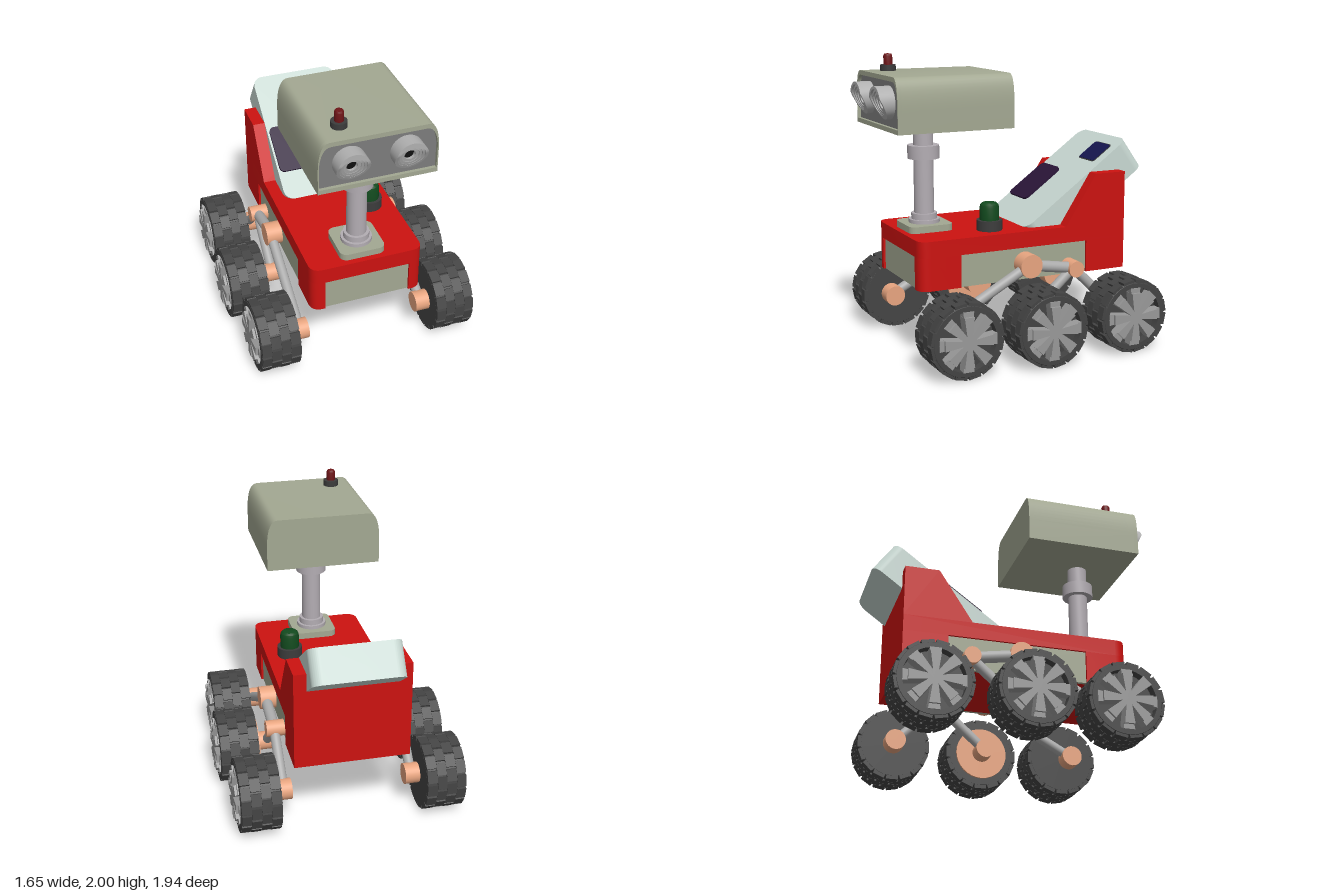
import * as THREE from 'three';
import { mergeGeometries, toCreasedNormals } from 'three/addons/utils/BufferGeometryUtils.js';
import { RoundedBoxGeometry } from 'three/addons/geometries/RoundedBoxGeometry.js';

const mat = (color) => new THREE.MeshStandardMaterial({ color });
const M = {
  red: mat(0xcc1210), sage: mat(0xa3a892), pale: mat(0xc8d8d2), salmon: mat(0xe8a580),
  pipe: mat(0xaaaaaa), mast: mat(0xb3adb3), tyre: mat(0x444444), dark: mat(0x3c3c3c),
  hub: mat(0x999999), face: mat(0x7c7c7c), lens: mat(0xb0b0b0), black: mat(0x101010),
  purple: mat(0x2a1538), blue: mat(0x15154f), green: mat(0x124a1e), lamp: mat(0x6e1518),
};
const V = (x, y, z) => new THREE.Vector3(x, y, z);

function add(parent, name, geo, material, x = 0, y = 0, z = 0) {
  const m = new THREE.Mesh(geo, material);
  m.name = name;
  m.position.set(x, y, z);
  parent.add(m);
  return m;
}
const cyl = (r, h, top = r) => new THREE.CylinderGeometry(top, r, h, 32);
const box = (w, h, d) => new THREE.BoxGeometry(w, h, d);
const lathe = (pts, n = 32) => toCreasedNormals(
  new THREE.LatheGeometry(pts.map(([r, y]) => new THREE.Vector2(r, y)), n), 0.5);
const extrude = (shape, depth) => toCreasedNormals(
  new THREE.ExtrudeGeometry(shape, { depth, bevelEnabled: false, curveSegments: 10 }), 0.5);
const polygon = (pts) => new THREE.Shape(pts.map(([x, y]) => new THREE.Vector2(x, y)));

// Horizontal outline in (x, z), extruded upward from y = 0
const plan = (shape, height) => extrude(shape, height).rotateX(-Math.PI / 2);

function roundedRect(w, h, r) {
  const s = new THREE.Shape(), a = w / 2, b = h / 2;
  s.absarc(a - r, b - r, r, 0, Math.PI / 2);
  s.absarc(-a + r, b - r, r, Math.PI / 2, Math.PI);
  s.absarc(-a + r, -b + r, r, Math.PI, Math.PI * 1.5);
  s.absarc(a - r, -b + r, r, Math.PI * 1.5, Math.PI * 2);
  return s;
}

// Chassis outline with rounded front corners; notched leaves room for the side panels
function chassisOutline(notched) {
  const s = new THREE.Shape(), w = 0.39, f = -0.76, b = 0.77, r = 0.08, i = 0.35;
  const line = (pts) => pts.forEach(([x, y]) => s.lineTo(x, y));
  s.moveTo(-w, b);
  if (notched) line([[-w, 0.47], [-i, 0.47], [-i, -0.47], [-w, -0.47]]);
  s.lineTo(-w, f + r);
  s.quadraticCurveTo(-w, f, -w + r, f);
  if (notched) line([[-0.295, f], [-0.295, f + 0.04], [0.295, f + 0.04], [0.295, f]]);
  s.lineTo(w - r, f);
  s.quadraticCurveTo(w, f, w, f + r);
  if (notched) line([[w, -0.47], [i, -0.47], [i, 0.47], [w, 0.47]]);
  s.lineTo(w, b);
  return s;
}

function buildBody(root) {
  const g = new THREE.Group();
  g.name = 'body';
  root.add(g);
  add(g, 'lowerChassis', plan(chassisOutline(true), 0.22), M.red, 0, 0.5);
  add(g, 'deck', plan(chassisOutline(false), 0.11), M.red, 0, 0.72);
  const rear = polygon([[-0.77, 0.83], [-0.31, 0.83], [-0.54, 1.18], [-0.77, 1.18]]);
  add(g, 'rearHousing', extrude(rear, 0.78).translate(0, 0, -0.39).rotateY(-Math.PI / 2), M.red);
  add(g, 'frontPanel', box(0.59, 0.22, 0.03), M.sage, 0, 0.61, 0.73);
  for (const s of [-1, 1]) add(g, 'sidePanel', box(0.03, 0.22, 0.94), M.sage, s * 0.36, 0.61, 0);

  // Sloping slab; its local y runs up the slope and local z points out of its face
  const slab = new THREE.Group();
  slab.name = 'slopingSlab';
  slab.position.set(0, 0.83, -0.05);
  slab.rotation.x = -Math.atan2(0.78, 0.56);
  g.add(slab);
  add(slab, 'slab', extrude(roundedRect(0.61, 0.96, 0.07), 0.236), M.pale, 0, 0.48, -0.236);
  add(slab, 'largeCell', extrude(roundedRect(0.26, 0.345, 0.035), 0.025), M.purple, -0.16, 0.38, -0.01);
  add(slab, 'cellFrame', extrude(roundedRect(0.215, 0.185, 0.025), 0.012), M.dark, 0.12, 0.785, -0.01);
  add(slab, 'smallCell', extrude(roundedRect(0.2, 0.17, 0.02), 0.016), M.blue, 0.12, 0.785, -0.01);

  // Domed button on the deck
  add(g, 'buttonBase', cyl(0.087, 0.07), M.dark, 0.225, 0.865, 0.19);
  const dome = lathe([[0.066, 0], [0.066, 0.085], [0.061, 0.104], [0.048, 0.116], [0.03, 0.12], [0, 0.12]]);
  add(g, 'button', dome, M.green, 0.225, 0.9, 0.19);
}

function buildMast(root) {
  const g = new THREE.Group();
  g.name = 'mast';
  g.position.set(-0.013, 0, 0.565);
  root.add(g);
  add(g, 'mastPlate', plan(roundedRect(0.31, 0.31, 0.05), 0.045), M.sage, 0, 0.83);
  const profile = [[0.105, 0.87], [0.105, 0.9], [0.087, 0.9], [0.087, 0.94], [0.067, 0.94], [0.067, 1.31],
    [0.107, 1.31], [0.107, 1.4], [0.067, 1.4], [0.067, 1.54]];
  add(g, 'mastColumn', lathe(profile), M.mast);
}

// Head cross-section: straight lower sides, shoulders curving into the flat top
function headOutline(Shape, w, y0, y1) {
  const s = new Shape();
  s.moveTo(-w, y0);
  s.lineTo(w, y0);
  s.lineTo(w, y0 + 0.15);
  s.bezierCurveTo(w, y1 - 0.1, w - 0.015, y1, w - 0.075, y1);
  s.lineTo(-w + 0.075, y1);
  s.bezierCurveTo(-w + 0.015, y1, -w, y1 - 0.1, -w, y0 + 0.15);
  s.lineTo(-w, y0);
  return s;
}

// Ring whose lower front edge is cut back to form a hood
function hoodRing(outer, inner, reach) {
  const geo = new THREE.LatheGeometry([[inner, 1], [inner, 0], [outer, 0], [outer, 1], [inner, 1]]
    .map(([r, y]) => new THREE.Vector2(r, y)), 40).rotateX(Math.PI / 2);
  const p = geo.attributes.position;
  for (let i = 0; i < p.count; i++) {
    const t = THREE.MathUtils.clamp((p.getY(i) + 0.105) / 0.14, 0, 1);
    p.setZ(i, p.getZ(i) * (0.035 + (reach - 0.035) * t));
  }
  return toCreasedNormals(geo, 0.5);
}

function buildHead(root) {
  const g = new THREE.Group();
  g.name = 'head';
  root.add(g);
  add(g, 'headShell', extrude(headOutline(THREE.Shape, 0.388, 1.53, 1.885), 0.78), M.sage, 0, 0, 0.085);
  const rim = headOutline(THREE.Shape, 0.388, 1.53, 1.885);
  rim.holes.push(headOutline(THREE.Path, 0.38, 1.56, 1.855));
  add(g, 'headRim', extrude(rim, 0.03), M.sage, 0, 0, 0.863);
  add(g, 'facePlate', extrude(headOutline(THREE.Shape, 0.383, 1.555, 1.86), 0.01), M.face, 0, 0, 0.86);
  for (const s of [-1, 1]) {
    const eye = new THREE.Group();
    eye.name = s > 0 ? 'leftEye' : 'rightEye';
    eye.position.set(s * 0.185, 1.715, 0.868);
    g.add(eye);
    [[0.107, 0.088, 0.105], [0.088, 0.073, 0.09], [0.073, 0.056, 0.078], [0.056, 0.036, 0.066]]
      .forEach(([o, i, reach]) => add(eye, 'lensRing', hoodRing(o, i, reach), M.lens));
    add(eye, 'pupil', cyl(0.038, 0.03).rotateX(Math.PI / 2), M.black, 0, 0, 0.015);
  }
  add(g, 'beaconBase', cyl(0.052, 0.04), M.dark, -0.2, 1.905, 0.735);
  const lamp = lathe([[0.03, 0], [0.03, 0.06], [0.024, 0.072], [0, 0.075]], 24);
  add(g, 'beaconLamp', lamp, M.lamp, -0.2, 1.925, 0.735);
}

// Wheel centred on its own axis, outer side toward +x
function buildWheel() {
  const g = new THREE.Group();
  g.name = 'wheel';
  const tyre = [[0, -0.135], [0.225, -0.135], [0.238, -0.125], [0.238, 0.125], [0.23, 0.135],
    [0.198, 0.135], [0.195, 0.08], [0, 0.08]];
  add(g, 'tyre', lathe(tyre, 40).rotateZ(-Math.PI / 2), M.tyre);
  const blocks = [], n = 16;
  for (let c = 0; c < 4; c++) for (let k = 0; k < n; k++) {
    blocks.push(box(c % 2 ? 0.064 : 0.068, 0.03, 0.082).translate((c - 1.5) * 0.067, 0.235, 0)
      .rotateX((k + (c % 2) / 2) * 2 * Math.PI / n));
  }
  add(g, 'treadBlocks', mergeGeometries(blocks), M.tyre);
  const spokes = [];
  for (let k = 0; k < 8; k++) for (const [r, depth] of [[0.197, 0.065], [0.165, 0.082]]) {
    const w = 0.018 + 0.1 * r;
    spokes.push(extrude(polygon([[-0.012, 0], [0.012, 0], [w, r], [-w, r]]), depth)
      .rotateZ(k * Math.PI / 4).rotateY(Math.PI / 2).translate(0.078, 0, 0));
  }
  add(g, 'spokes', mergeGeometries(spokes), M.hub);
  return g;
}

function pipe(parent, a, b, r) {
  const m = add(parent, 'suspensionArm', cyl(r, a.distanceTo(b)), M.pipe);
  m.position.copy(a).lerp(b, 0.5);
  m.quaternion.setFromUnitVectors(V(0, 1, 0), b.clone().sub(a).normalize());
}

function buildSide(root, s) {
  const g = new THREE.Group();
  g.name = s > 0 ? 'leftSuspension' : 'rightSuspension';
  root.add(g);
  for (const [x, z] of [[0.625, 0.59], [0.665, 0], [0.625, -0.635]]) {
    const w = buildWheel();
    w.position.set(s * x, 0.257, z);
    if (s < 0) w.rotation.y = Math.PI;
    g.add(w);
  }
  const pin = (name, r, x0, x1, y, z) =>
    add(g, name, cyl(r, x1 - x0).rotateZ(Math.PI / 2), M.salmon, s * (x0 + x1) / 2, y, z);
  pin('frontAxle', 0.071, 0.39, 0.5, 0.26, 0.64);
  pin('rearAxle', 0.071, 0.39, 0.5, 0.26, -0.64);
  pin('middleAxle', 0.065, 0.4, 0.53, 0.26, 0);
  pin('middleHubDisc', 0.18, 0.515, 0.535, 0.257, 0);
  pin('mainPivot', 0.08, 0.34, 0.485, 0.61, 0);
  pin('rearPivot', 0.056, 0.34, 0.5, 0.555, -0.335);

  // Rocker from the front axle over the main pivot, then a bogie to the other two wheels
  const at = (y, z) => V(s * 0.442, y, z);
  const main = at(0.61, 0), bogie = at(0.555, -0.335);
  pipe(g, at(0.27, 0.63), main, 0.034);
  pipe(g, main, bogie, 0.038);
  pipe(g, bogie, at(0.26, 0), 0.034);
  pipe(g, bogie, at(0.26, -0.64), 0.034);
}

export function createModel() {
  const root = new THREE.Group();
  root.name = 'rover';
  buildBody(root);
  buildMast(root);
  buildHead(root);
  for (const s of [-1, 1]) buildSide(root, s);
  return root;
}
